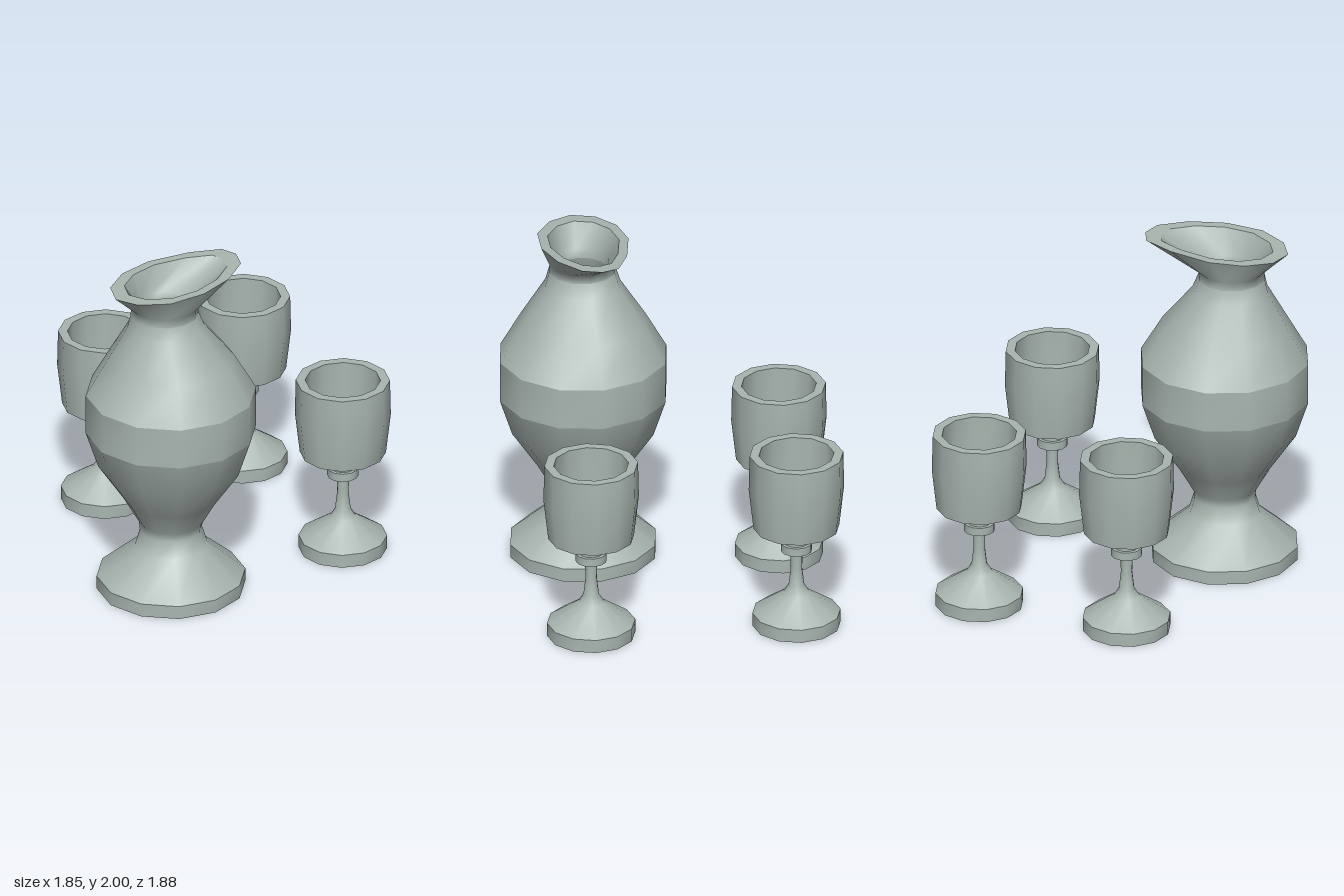
import * as THREE from 'three';

const SIDES = 12;
const TILT = -0.133; // the vase's facets are turned slightly

// Horizontal ring of points
function ring(r, y, cx = 0, cz = 0, phase = 0) {
  return Array.from({ length: SIDES }, (_, i) => {
    const a = phase + (i / SIDES) * Math.PI * 2;
    return [cx + r * Math.cos(a), y, cz + r * Math.sin(a)];
  });
}

// Smooth skin over rings; the outside faces outward when the rings go up
function loft(name, rings, material) {
  const index = [];
  for (let j = 0; j < rings.length - 1; j++) {
    for (let i = 0; i < SIDES; i++) {
      const n = (i + 1) % SIDES;
      const a = j * SIDES + i, b = j * SIDES + n;
      const c = a + SIDES, d = b + SIDES;
      index.push(a, c, b, b, c, d);
    }
  }
  const geometry = new THREE.BufferGeometry();
  geometry.setAttribute('position', new THREE.Float32BufferAttribute(rings.flat(2), 3));
  geometry.setIndex(index);
  geometry.computeVertexNormals();
  const mesh = new THREE.Mesh(geometry, material);
  mesh.name = name;
  return mesh;
}

// Goblet sections as [radius, height]; each section has hard ends
const GOBLET = {
  footBottom: [[0, 0], [0.255, 0]],
  footEdge: [[0.255, 0], [0.255, 0.08]],
  footAndStem: [[0.255, 0.08], [0.075, 0.205], [0.045, 0.255], [0.033, 0.36], [0.036, 0.47]],
  collarBottom: [[0.036, 0.47], [0.09, 0.47]],
  collarEdge: [[0.09, 0.47], [0.09, 0.52]],
  collarTop: [[0.09, 0.52], [0.07, 0.52]],
  bowlNeck: [[0.07, 0.52], [0.07, 0.542]],
  bowlBottom: [[0.07, 0.542], [0.248, 0.62]],
  bowlWall: [[0.248, 0.62], [0.276, 0.87], [0.271, 1.085]],
  bowlRim: [[0.271, 1.085], [0.217, 1.085]],
  bowlInside: [[0.217, 1.085], [0.217, 0.65]],
  bowlFloor: [[0.217, 0.65], [0, 0.65]],
};

// Vase body sections as [radius, height]
const VASE = {
  footBottom: [[0, 0], [0.43, 0]],
  footEdge: [[0.43, 0], [0.43, 0.08]],
  lowerBody: [[0.43, 0.08], [0.21, 0.27], [0.18, 0.37], [0.185, 0.42], [0.27, 0.57], [0.42, 0.79], [0.493, 1.01]],
  bellyBand: [[0.493, 1.01], [0.493, 1.255]],
  shoulder: [[0.493, 1.255], [0.37, 1.47], [0.222, 1.69], [0.196, 1.775]],
  inside: [[0.15, 1.775], [0.18, 1.69], [0.32, 1.47], [0.44, 1.255], [0.44, 1.01], [0.37, 0.79], [0.22, 0.57]],
  insideFloor: [[0.22, 0.57], [0, 0.57]],
};

// Spouted lip outline as [x, z]
const LIP = [
  [0.025, 0.383], [-0.005, 0.498], [-0.154, 0.622], [-0.358, 0.697],
  [-0.577, 0.697], [-0.74, 0.607], [-0.816, 0.478], [-0.776, 0.338],
  [-0.64, 0.23], [-0.44, 0.184], [-0.19, 0.22], [-0.015, 0.289],
];
const lipHeight = (x) => 2 + (x - 0.025) * 0.0476;

function createGoblet(material) {
  const group = new THREE.Group();
  for (const [name, profile] of Object.entries(GOBLET)) {
    group.add(loft(name, profile.map(([r, y]) => ring(r, y)), material));
  }
  return group;
}

function createVase(material) {
  const group = new THREE.Group();
  group.name = 'vase';
  // The axis leans a little to one side near the neck
  const axisX = (y) => -0.437 - 0.043 * THREE.MathUtils.smoothstep(y, 1.4, 1.8);
  const vaseRing = ([r, y]) => ring(r, y, axisX(y), 0.447, TILT);
  for (const [name, profile] of Object.entries(VASE)) {
    group.add(loft(name, profile.map(vaseRing), material));
  }

  // Neck flaring into the spout, with its rim and throat
  const outer = LIP.map(([x, z]) => [x, lipHeight(x), z]);
  const inner = LIP.map(([x, z]) => {
    const ix = -0.4 + (x + 0.4) * 0.785;
    return [ix, lipHeight(ix), 0.44 + (z - 0.44) * 0.785];
  });
  group.add(loft('neck', [vaseRing([0.196, 1.775]), vaseRing([0.193, 1.825]), outer], material));
  group.add(loft('lipRim', [outer, inner], material));
  group.add(loft('throat', [inner, vaseRing([0.155, 1.83]), vaseRing([0.15, 1.775])], material));
  return group;
}

export function createModel() {
  const pewter = new THREE.MeshStandardMaterial({ color: 0xa9b5b0 });
  pewter.name = 'pewter';

  const model = new THREE.Group();
  model.name = 'vaseAndGoblets';
  model.add(createVase(pewter));

  const places = { backRightGoblet: [-0.255, -0.665], backLeftGoblet: [0.65, -0.665], frontLeftGoblet: [0.65, 0.522] };
  for (const [name, [x, z]] of Object.entries(places)) {
    const goblet = createGoblet(pewter);
    goblet.name = name;
    goblet.position.set(x, 0, z);
    model.add(goblet);
  }
  return model;
}
